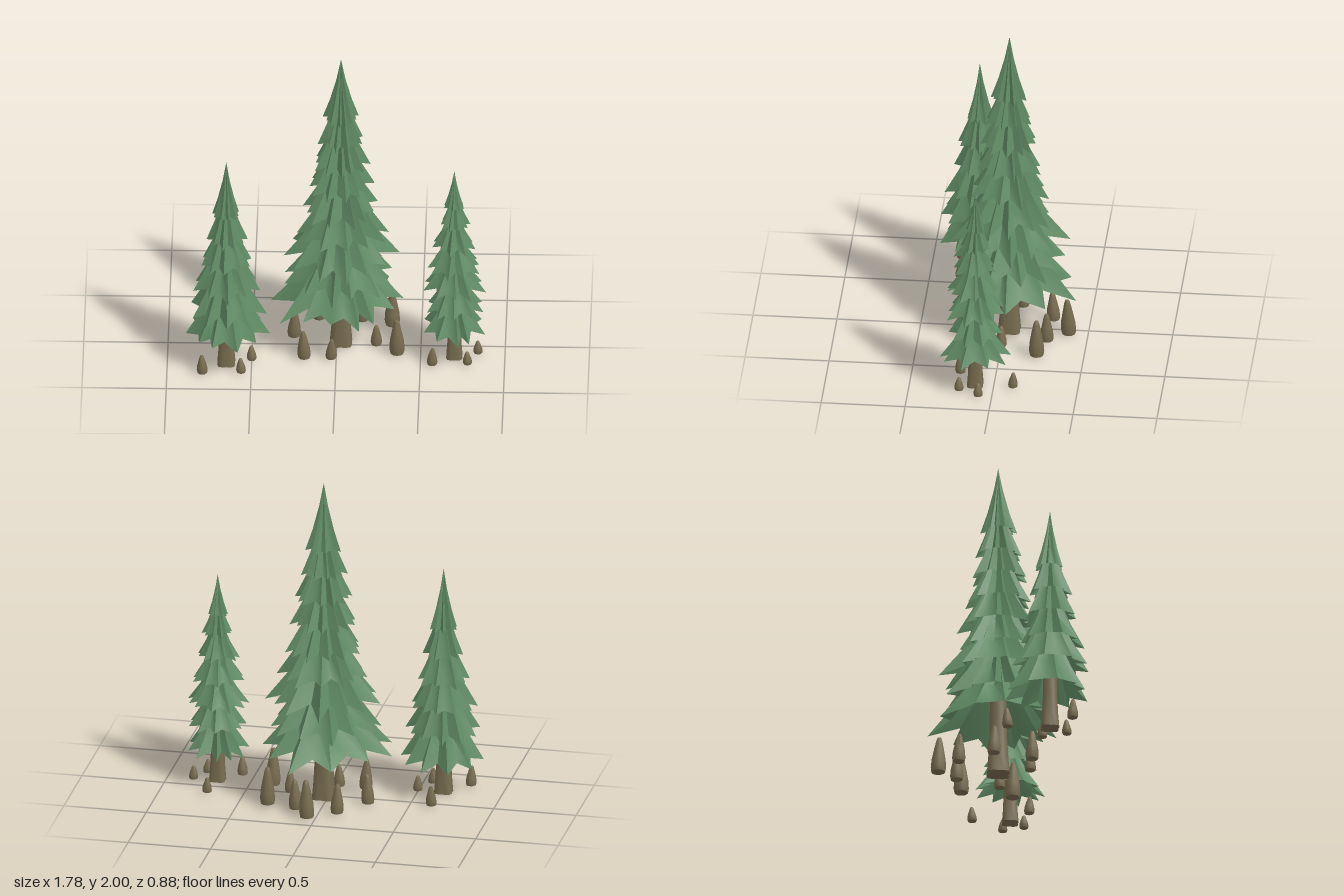
import * as THREE from 'three';
import { toCreasedNormals } from 'three/addons/utils/BufferGeometryUtils.js';

const needleGreen = new THREE.MeshStandardMaterial({ color: 0x608b64, side: THREE.DoubleSide });
needleGreen.name = 'needleGreen';
const barkBrown = new THREE.MeshStandardMaterial({ color: 0x786c50 });
barkBrown.name = 'barkBrown';

// Small seeded generator for natural irregularity
function seeded(seed) {
  let s = seed;
  return () => ((s = (s * 16807) % 2147483647) / 2147483647);
}

// Irregular ring of branch tips as [x, z] offsets from the trunk
function scatterTips(radius, count, rand) {
  const turn = rand() * Math.PI * 2;
  return Array.from({ length: count }, (_, i) => {
    const angle = turn + ((i + (rand() - 0.5) * 0.4) / count) * Math.PI * 2;
    const r = radius * (0.86 + rand() * 0.22);
    return [Math.cos(angle) * r, Math.sin(angle) * r];
  });
}

// Pleated skirt: an apex flaring out to the tips, with a valley between each pair; longer points hang lower
function skirtGeometry(radius, hemY, height, tips, rand) {
  const spokes = [];
  tips.forEach(([x, z], i) => {
    const next = tips[(i + 1) % tips.length];
    const angle = Math.atan2(z, x);
    const gap = (Math.atan2(next[1], next[0]) - angle + Math.PI * 4) % (Math.PI * 2);
    spokes.push({ angle, reach: Math.hypot(x, z) });
    spokes.push({ angle: angle + gap * (0.4 + rand() * 0.2), reach: radius * (0.62 + rand() * 0.1) });
  });
  const n = spokes.length;
  // Each ring: fraction of the way down, fraction of the reach
  const rings = [[0, 0], [0.35, 0.25], [0.7, 0.6], [1, 1]];
  const pos = [];
  const index = [];
  for (const [down, out] of rings) {
    for (const { angle, reach } of spokes) {
      const r = reach * out;
      const drop = (radius * 0.8 - reach) * 0.4 * out * out;
      pos.push(Math.cos(angle) * r, hemY + height * (1 - down) + drop, Math.sin(angle) * r);
    }
  }
  for (let k = 0; k < rings.length - 1; k++) {
    for (let i = 0; i < n; i++) {
      const j = (i + 1) % n;
      const a = k * n + i, b = k * n + j, c = a + n, d = b + n;
      if (k > 0) index.push(a, b, c);
      index.push(b, d, c);
    }
  }
  const geo = new THREE.BufferGeometry();
  geo.setAttribute('position', new THREE.Float32BufferAttribute(pos, 3));
  geo.setIndex(index);
  return toCreasedNormals(geo, 1.2);
}

// Tapered trunk: round above, spreading into four corner roots at the ground
function makeTrunk(radius, height) {
  const profile = [[0, 0], [1, 0], [0.92, 0.15], [0.85, 0.4], [0.75, 1]]
    .map(([r, y]) => new THREE.Vector2(r * radius, y * height));
  const geo = new THREE.LatheGeometry(profile, 16);
  const p = geo.attributes.position;
  for (let i = 0; i < p.count; i++) {
    const x = p.getX(i), z = p.getZ(i);
    const corner = Math.sin(2 * Math.atan2(z, x)) ** 2;
    const swell = 1 + 0.32 * corner * Math.max(0, 1 - (2 * p.getY(i)) / height);
    p.setX(i, x * swell);
    p.setZ(i, z * swell);
  }
  const mesh = new THREE.Mesh(toCreasedNormals(geo, 1.2), barkBrown);
  mesh.name = 'trunk';
  return mesh;
}

// Blunt pointed root growth beside a tree
function makeKnee([x, z, height], rand) {
  const r = 0.018 + height * 0.12;
  const profile = [[0, 0], [0.9, 0], [1, 0.12], [0.92, 0.36], [0.68, 0.62], [0.42, 0.88], [0.26, 0.98], [0, 1]]
    .map(([a, b]) => new THREE.Vector2(a * r, b * height));
  const geo = new THREE.LatheGeometry(profile, 12);
  // lean grows with height
  const leanX = (rand() - 0.5) * 0.1, leanZ = (rand() - 0.5) * 0.1;
  const p = geo.attributes.position;
  for (let i = 0; i < p.count; i++) {
    const y = p.getY(i);
    p.setX(i, p.getX(i) + y * leanX);
    p.setZ(i, p.getZ(i) + y * leanZ);
  }
  const mesh = new THREE.Mesh(toCreasedNormals(geo, 0.9), barkBrown);
  mesh.name = 'rootKnee';
  mesh.position.set(x, 0.01, z);
  return mesh;
}

function makeTree({ name, x, z, top, trunk, seed, lowTips, tiers, knees }) {
  const rand = seeded(seed);
  const tree = new THREE.Group();
  tree.name = name;
  const crown = new THREE.Group();
  crown.name = 'crown';
  tiers.forEach(([hemY, radius], i) => {
    const last = tiers.length - 1;
    const height = (top - tiers[last][0]) * (1 + 0.4 * (1 - i / last));
    const tips = i === 0 ? lowTips : scatterTips(radius, lowTips.length, rand);
    const skirt = new THREE.Mesh(skirtGeometry(radius, hemY, height, tips, rand), needleGreen);
    skirt.name = 'branchTier' + (i + 1);
    crown.add(skirt);
  });
  const body = new THREE.Group();
  body.name = 'treeBody';
  body.position.set(x, 0, z);
  body.add(makeTrunk(trunk, tiers[0][0] + 0.3), crown);
  tree.add(body);
  for (const k of knees) tree.add(makeKnee(k, rand));
  return tree;
}

export function createModel() {
  const model = new THREE.Group();
  model.name = 'pineGrove';
  // lowTips: lowest branch tips [x, z] from the trunk; tiers: [hem height, reach]; knees: [x, z, height]
  model.add(makeTree({
    name: 'tallTree', x: 0.025, z: -0.03, top: 2, trunk: 0.062, seed: 4217,
    lowTips: [[0.37, -0.01], [0.32, 0.13], [0.2, 0.29], [0.115, 0.36], [-0.055, 0.32], [-0.22, 0.28],
      [-0.36, 0.25], [-0.415, 0], [-0.31, -0.17], [-0.125, -0.36], [0.125, -0.41], [0.28, -0.24]],
    tiers: [[0.33, 0.4], [0.485, 0.33], [0.645, 0.34], [0.8, 0.265], [0.96, 0.23],
      [1.12, 0.193], [1.28, 0.168], [1.435, 0.135], [1.59, 0.105]],
    knees: [[-0.255, -0.085, 0.18], [-0.19, 0.15, 0.18], [-0.11, -0.28, 0.18], [-0.03, 0.155, 0.13],
      [0.05, -0.385, 0.23], [0.145, -0.265, 0.18], [0.235, 0, 0.13], [0.325, -0.22, 0.23], [0.36, 0.09, 0.23]],
  }));
  model.add(makeTree({
    name: 'rightTree', x: -0.65, z: 0.21, top: 1.42, trunk: 0.05, seed: 9341,
    lowTips: [[0.26, 0], [0.18, 0.13], [0.07, 0.23], [-0.08, 0.2], [-0.16, 0.14],
      [-0.24, 0.02], [-0.2, -0.15], [-0.08, -0.26], [0.08, -0.26], [0.2, -0.16]],
    tiers: [[0.235, 0.25], [0.4, 0.235], [0.56, 0.195], [0.725, 0.165], [0.885, 0.125], [1.05, 0.085]],
    knees: [[-0.79, 0.33, 0.12], [-0.56, 0.32, 0.09], [-0.5, 0.18, 0.09], [-0.63, -0.04, 0.12]],
  }));
  model.add(makeTree({
    name: 'leftTree', x: 0.7, z: 0.11, top: 1.31, trunk: 0.045, seed: 2753,
    lowTips: [[0.185, 0.07], [0.09, 0.18], [0.025, 0.21], [-0.1, 0.16], [-0.18, 0.06],
      [-0.18, -0.1], [-0.12, -0.17], [-0.04, -0.21], [0.09, -0.19], [0.16, -0.09]],
    tiers: [[0.215, 0.2], [0.36, 0.18], [0.505, 0.185], [0.65, 0.165], [0.795, 0.125], [0.94, 0.09], [1.06, 0.06]],
    knees: [[0.57, 0.21, 0.11], [0.78, 0.2, 0.08], [0.84, 0.08, 0.08], [0.715, -0.115, 0.09]],
  }));
  return model;
}
